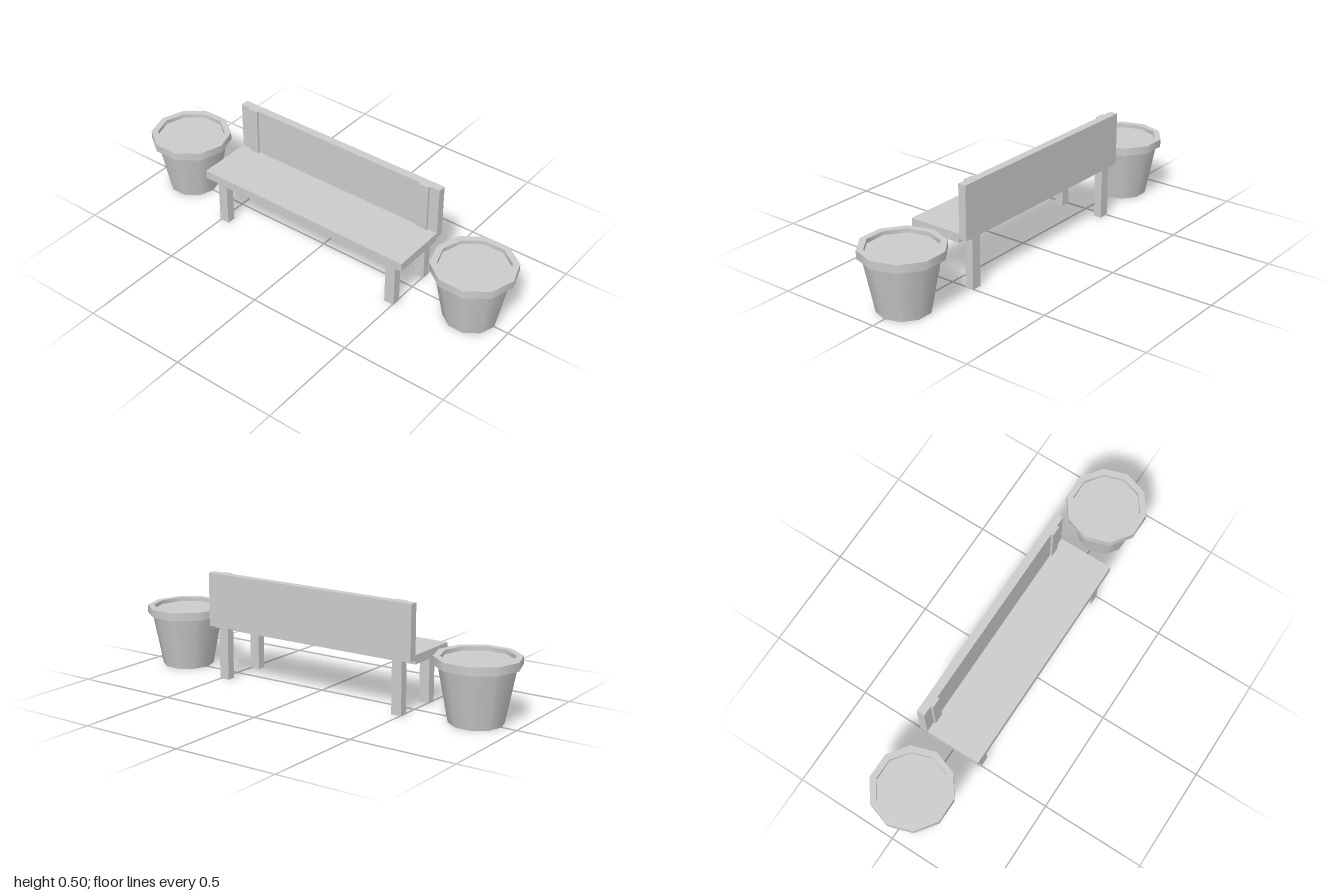
import * as THREE from 'three';
import { mergeGeometries } from 'three/addons/utils/BufferGeometryUtils.js';

const grey = new THREE.MeshStandardMaterial({ color: 0xcccccc });
grey.name = 'plain grey';

function mesh(name, geometry) {
  const m = new THREE.Mesh(geometry, grey);
  m.name = name;
  return m;
}

// Box given by its min and max corners
function box(name, [x0, y0, z0], [x1, y1, z1]) {
  const g = new THREE.BoxGeometry(x1 - x0, y1 - y0, z1 - z0);
  g.translate((x0 + x1) / 2, (y0 + y1) / 2, (z0 + z1) / 2);
  return mesh(name, g);
}

// Ten-sided lathe, smooth around but with hard edges between profile segments
function creasedLathe(profile) {
  const bands = [];
  for (let i = 0; i < profile.length - 1; i++) {
    const pair = [profile[i], profile[i + 1]].map(([r, y]) => new THREE.Vector2(r, y));
    bands.push(new THREE.LatheGeometry(pair, 10, Math.PI / 2));
  }
  return mergeGeometries(bands);
}

function createPot(name, x) {
  const pot = new THREE.Group();
  pot.name = name;
  pot.add(
    mesh('potBody', creasedLathe([[0, 0], [0.122, 0], [0.171, 0.255]])),
    mesh('potRim', creasedLathe([[0.171, 0.255], [0.192, 0.255], [0.192, 0.293], [0.161, 0.293], [0.161, 0.274]])),
    mesh('potSoil', creasedLathe([[0.161, 0.274], [0, 0.274]]))
  );
  pot.position.x = x;
  return pot;
}

function createBench() {
  const bench = new THREE.Group();
  bench.name = 'bench';
  bench.add(
    box('seat', [-0.555, 0.233, -0.09], [0.555, 0.275, 0.177]),
    box('backrest', [-0.555, 0.25, -0.13], [0.555, 0.505, -0.091])
  );
  for (const [side, x] of [['left', 0.48], ['right', -0.48]]) {
    // Rear legs run up as posts that carry the backrest
    bench.add(
      box(side + 'FrontLeg', [x - 0.025, 0, 0.11], [x + 0.025, 0.234, 0.152]),
      box(side + 'RearPost', [x - 0.025, 0, -0.12], [x + 0.025, 0.505, -0.08])
    );
  }
  return bench;
}

export function createModel() {
  const model = new THREE.Group();
  model.name = 'benchWithPots';
  model.add(createBench(), createPot('leftPot', 0.808), createPot('rightPot', -0.808));
  return model;
}
